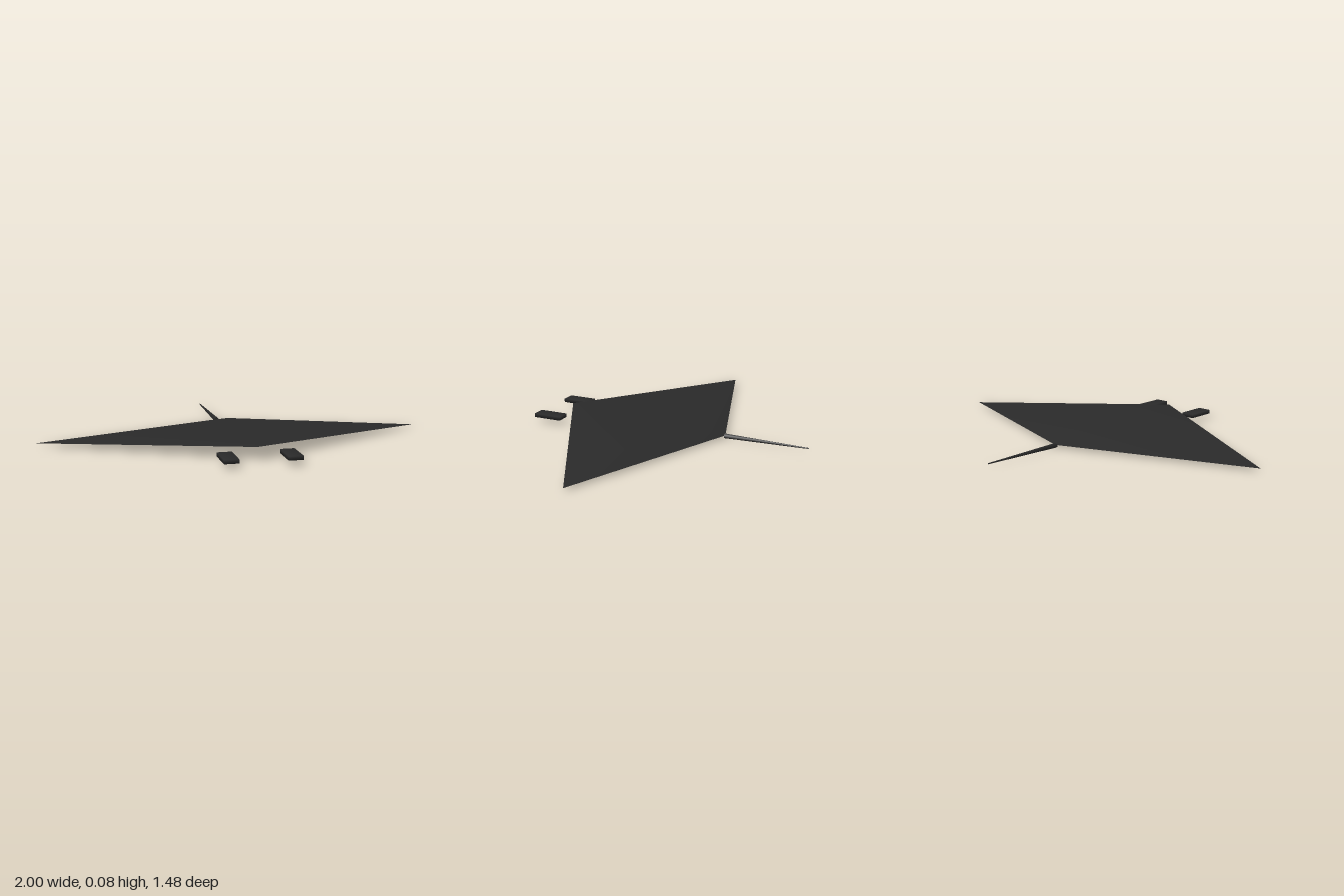
import * as THREE from 'three';
import { mergeVertices } from 'three/addons/utils/BufferGeometryUtils.js';

// Shares corner vertices so shading runs softly across the edges
function soften(geometry) {
  geometry.deleteAttribute('normal');
  geometry.deleteAttribute('uv');
  const merged = mergeVertices(geometry, 1e-4);
  merged.computeVertexNormals();
  return merged;
}

export function createModel() {
  const group = new THREE.Group();
  const skin = new THREE.MeshStandardMaterial({ color: 0x2a2a2a, side: THREE.DoubleSide });
  skin.name = 'charcoal skin';

  const add = (name, geometry, x = 0, y = 0, z = 0) => {
    const mesh = new THREE.Mesh(geometry, skin);
    mesh.name = name;
    mesh.position.set(x, y, z);
    group.add(mesh);
    return mesh;
  };

  // Body and wings: a thin folded shell, four faces meeting at the back's peak
  const body = new THREE.BufferGeometry();
  body.setAttribute('position', new THREE.Float32BufferAttribute([
    0, 0.07, 0.615,     // nose
    1, 0.016, 0.073,    // left wing tip
    0, 0.016, -0.29,    // tail root
    -1, 0.016, 0.073,   // right wing tip
    0, 0.08, -0.015,    // peak
  ], 3));
  body.setIndex([0, 1, 4, 1, 2, 4, 2, 3, 4, 3, 0, 4]);
  body.computeVertexNormals();
  add('bodyAndWings', body);

  // Tail: a slim taper pointing backwards
  const tail = new THREE.CylinderGeometry(0.003, 0.013, 0.455, 6);
  tail.rotateX(-Math.PI / 2);
  add('tail', tail, 0, 0.014, -0.515);

  // Pair of head fins in front of the nose
  for (const side of [1, -1]) {
    add(side > 0 ? 'leftHeadFin' : 'rightHeadFin',
      soften(new THREE.BoxGeometry(0.072, 0.02, 0.154)), side * 0.154, 0.038, 0.665);
  }

  return group;
}
